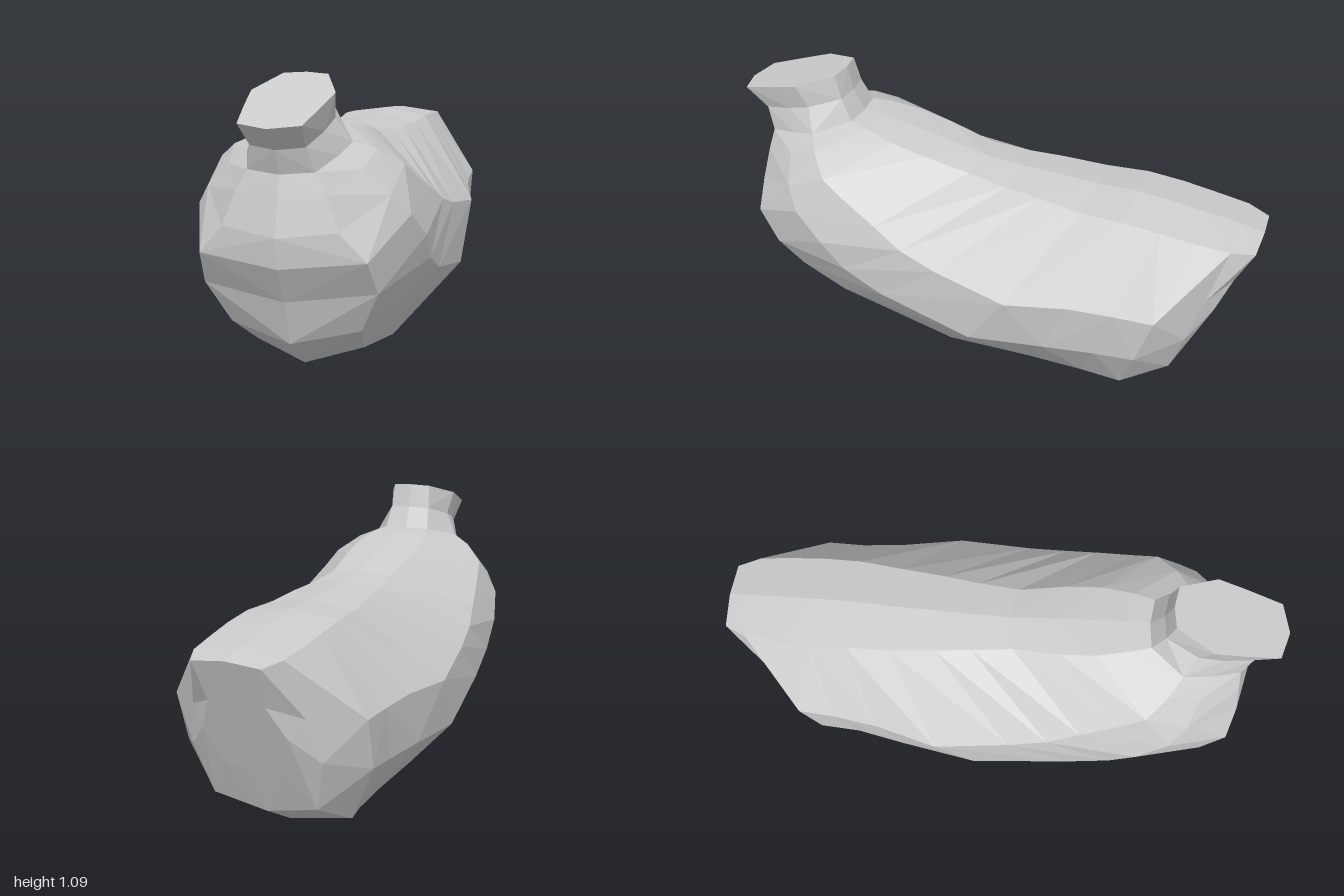
import * as THREE from 'three';

// Cross-sections from the neck cut, fanning round the chest, to the rump.
// [lower z, lower y, upper z, upper y, half widths at the four heights below]
const HEIGHTS = [0.07, 0.38, 0.64, 0.97];
const SECTIONS = [
  [1.0, 0.965, 0.585, 1.09, 0.1, 0.122, 0.137, 0.075],
  [0.92, 0.89, 0.565, 1.0, 0.088, 0.115, 0.124, 0.08],
  [0.89, 0.81, 0.525, 0.92, 0.11, 0.15, 0.172, 0.09],
  [0.905, 0.74, 0.45, 0.915, 0.145, 0.22, 0.242, 0.11],
  [0.93, 0.62, 0.33, 0.895, 0.187, 0.305, 0.315, 0.13],
  [0.92, 0.52, 0.2, 0.87, 0.272, 0.36, 0.335, 0.13],
  [0.85, 0.395, 0.03, 0.835, 0.288, 0.39, 0.362, 0.115],
  [0.8, 0.24, -0.12, 0.825, 0.22, 0.388, 0.385, 0.13],
  [0.64, 0.12, -0.25, 0.825, 0.19, 0.39, 0.4, 0.145],
  [0.15, 0, -0.4, 0.82, 0.185, 0.41, 0.425, 0.16],
  [-0.2, 0.025, -0.55, 0.825, 0.19, 0.375, 0.375, 0.17],
  [-0.42, 0.04, -0.68, 0.815, 0.2, 0.345, 0.355, 0.17],
  [-0.58, 0.08, -0.8, 0.8, 0.24, 0.345, 0.35, 0.165],
  [-0.75, 0.18, -0.92, 0.785, 0.19, 0.235, 0.2, 0.155],
  [-0.82, 0.34, -1.0, 0.77, 0.11, 0.15, 0.1, 0.12],
];

// One closed ring: up the left side, then mirrored down the right side
function makeRing([bz, by, tz, ty, ...widths]) {
  const at = (x, f) => new THREE.Vector3(x, by + (ty - by) * f, bz + (tz - bz) * f);
  const left = widths.map((w, i) => at(w, HEIGHTS[i]));
  const right = widths.map((w, i) => at(-w, HEIGHTS[i])).reverse();
  return [at(0, 0), ...left, at(0, 1), ...right];
}

function toGeometry(points) {
  const geometry = new THREE.BufferGeometry().setFromPoints(points);
  geometry.computeVertexNormals();
  return geometry;
}

// Faceted skin joining neighbouring rings
function makeSkin(rings) {
  const points = [];
  for (let i = 0; i < rings.length - 1; i++) {
    const n = rings[i].length;
    for (let j = 0; j < n; j++) {
      const k = (j + 1) % n;
      const a = rings[i][j], b = rings[i][k], c = rings[i + 1][k], d = rings[i + 1][j];
      // Split each quad along its outward-folding diagonal
      const normal = d.clone().sub(a).cross(c.clone().sub(a));
      if (b.clone().sub(a).dot(normal) <= 0) points.push(a, d, c, a, c, b);
      else points.push(a, d, b, d, c, b);
    }
  }
  return toGeometry(points);
}

// Flat end face fanned from the middle of a ring
function makeCap(ring, backward) {
  const middle = ring[0].clone().lerp(ring[ring.length / 2], 0.5);
  const points = [];
  ring.forEach((p, j) => {
    const q = ring[(j + 1) % ring.length];
    points.push(middle, ...(backward ? [q, p] : [p, q]));
  });
  return toGeometry(points);
}

export function createModel() {
  const grey = new THREE.MeshStandardMaterial({ color: 0xcccccc, flatShading: true });
  grey.name = 'plain grey';

  const group = new THREE.Group();
  group.name = 'animalTorso';
  const add = (name, geometry) => {
    const mesh = new THREE.Mesh(geometry, grey);
    mesh.name = name;
    group.add(mesh);
  };

  const rings = SECTIONS.map(makeRing);
  const neckBase = 2;
  add('neck', makeSkin(rings.slice(0, neckBase + 1)));
  add('body', makeSkin(rings.slice(neckBase)));
  add('neckTop', makeCap(rings[0], false));
  add('rump', makeCap(rings[rings.length - 1], true));
  return group;
}
